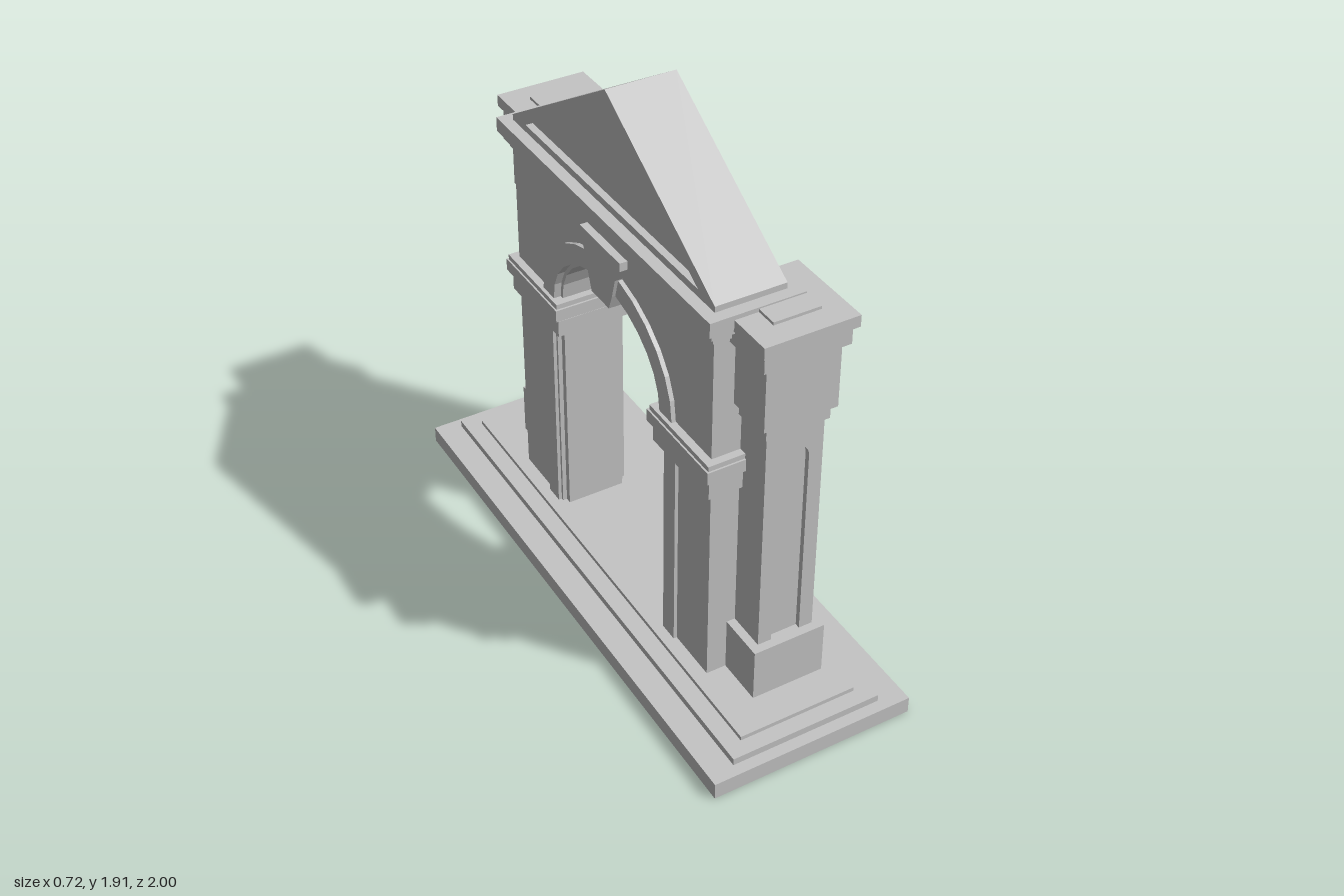
import * as THREE from 'three';

export function createModel() {
  const root = new THREE.Group();
  const stone = new THREE.MeshStandardMaterial({ color: 0xc4c4c4, side: THREE.DoubleSide });
  stone.name = 'greyStone';

  function add(name, geo) {
    const mesh = new THREE.Mesh(geo, stone);
    mesh.name = name;
    root.add(mesh);
    return mesh;
  }

  // Box given by its limits; optionally without a bottom face
  function box(name, x0, x1, y0, y1, z0, z1, open = false) {
    const geo = new THREE.BoxGeometry(x1 - x0, y1 - y0, Math.abs(z1 - z0));
    if (open) {
      const index = Array.from(geo.index.array);
      index.splice(18, 6);
      geo.setIndex(index);
      geo.clearGroups();
    }
    geo.translate((x0 + x1) / 2, (y0 + y1) / 2, (z0 + z1) / 2);
    return add(name, geo);
  }

  const shapeOf = (pts) => new THREE.Shape(pts.map(([u, v]) => new THREE.Vector2(u, v)));

  // Shape drawn in the z-y plane and extruded from x0 to x1
  function slab(name, shape, x0, x1) {
    const geo = new THREE.ExtrudeGeometry(shape, { depth: x1 - x0, bevelEnabled: false });
    geo.rotateY(Math.PI / 2).translate(x0, 0, 0);
    return add(name, geo);
  }

  // Points of a flattened arch, from +u to -u
  function arc(a, b, cy, n = 14) {
    return Array.from({ length: n + 1 }, (_, i) => {
      const t = (Math.PI * i) / n;
      return [a * Math.cos(t), cy + b * Math.sin(t)];
    });
  }

  // Stepped base, hollow underneath
  box('lowerStep', -0.36, 0.36, 0, 0.06, -1, 1, true);
  box('middleStep', -0.27, 0.267, 0.06, 0.085, -0.96, 0.96, true);
  box('upperStep', -0.21, 0.21, 0.085, 0.1, -0.905, 0.905, true);

  // Wall with the arched opening
  const spring = 0.98;
  slab('wall', shapeOf([
    [-0.62, 0.1], [-0.62, 1.42], [0.62, 1.42], [0.62, 0.1], [0.355, 0.1],
    ...arc(0.355, 0.272, spring), [-0.355, 0.1],
  ]), -0.16, 0.08);

  // Stepped mouldings round the arch
  const band = (a0, b0, a1, b1) => shapeOf([...arc(a1, b1, spring), ...arc(a0, b0, spring).reverse()]);
  slab('archMoulding', band(0.342, 0.265, 0.415, 0.335), -0.175, 0.095);
  slab('archLining', band(0.328, 0.253, 0.36, 0.28), -0.15, 0.07);

  // Keystone
  slab('keystone', shapeOf([
    [-0.055, 1.185], [0.055, 1.185], [0.075, 1.24], [0.095, 1.31], [0.125, 1.36], [0.125, 1.39],
    [-0.125, 1.39], [-0.125, 1.36], [-0.095, 1.31], [-0.075, 1.24],
  ]), -0.187, 0.107);

  // Entablature
  box('friezeBand', -0.17, 0.09, 1.405, 1.43, -0.63, 0.63);
  box('corniceLower', -0.185, 0.105, 1.43, 1.455, -0.645, 0.645);
  box('corniceUpper', -0.2, 0.12, 1.455, 1.505, -0.66, 0.66);

  // Pediment with a recessed panel on both faces
  const pediment = shapeOf([[-0.62, 1.505], [0.62, 1.505], [0.62, 1.525], [0, 1.91], [-0.62, 1.525]]);
  const panel = [[-0.53, 1.53], [0.53, 1.53], [0, 1.857]];
  pediment.holes.push(shapeOf(panel));
  slab('pedimentFrame', pediment, -0.16, 0.08);
  slab('pedimentPanel', shapeOf(panel), -0.135, 0.055);

  // Plate with a round-headed niche cut up from its lower edge
  function nichePlate(width, depth) {
    const w = width / 2, r = 0.052;
    return new THREE.ExtrudeGeometry(shapeOf([
      [r, 0.29], [w, 0.29], [w, 1.115], [-w, 1.115], [-w, 0.29], [-r, 0.29],
      ...arc(r, 0.052, 0.988, 16).reverse(),
    ]), { depth, bevelEnabled: false });
  }

  for (const s of [1, -1]) {
    // Pier with stepped jamb
    box('jamb', -0.145, 0.065, 0.1, 0.86, s * 0.333, s * 0.4);
    box('jambPilaster', -0.172, 0.092, 0.1, 0.86, s * 0.365, s * 0.433);

    // Layered impost, wrapped round the pier
    const impost = [
      [0.845, 0.905, 0.018, 0.31], [0.905, 0.918, 0.012, 0.316], [0.918, 0.962, 0.033, 0.295], [0.962, 0.98, 0.027, 0.302],
    ];
    for (const [y0, y1, out, z] of impost) {
      box('impost', -0.16 - out, 0.08 + out, y0, y1, s * z, s * (0.62 + out));
    }

    // Column
    box('columnPedestal', -0.09, 0.167, 0.1, 0.292, s * 0.523, s * 0.785);
    box('columnCore', -0.06, 0.122, 0.29, 1.12, s * 0.535, s * 0.737);
    const front = add('columnFrontNiche', nichePlate(0.22, 0.018));
    front.rotation.y = Math.PI / 2;
    front.position.set(0.122, 0, s * 0.645);
    const end = add('columnSideNiche', nichePlate(0.2, 0.018));
    end.position.set(0.04, 0, s > 0 ? 0.737 : -0.755);

    // Capital
    box('columnCollar', -0.07, 0.15, 1.113, 1.16, s * 0.52, s * 0.767);
    box('capitalBlock', -0.088, 0.165, 1.16, 1.387, s * 0.53, s * 0.782);
    box('capitalMoulding', -0.108, 0.185, 1.387, 1.45, s * 0.51, s * 0.8);
    box('capitalTop', -0.12, 0.2, 1.45, 1.49, s * 0.495, s * 0.815);
    box('capitalPlate', -0.04, 0.12, 1.49, 1.5, s * 0.56, s * 0.735);
  }

  return root;
}
